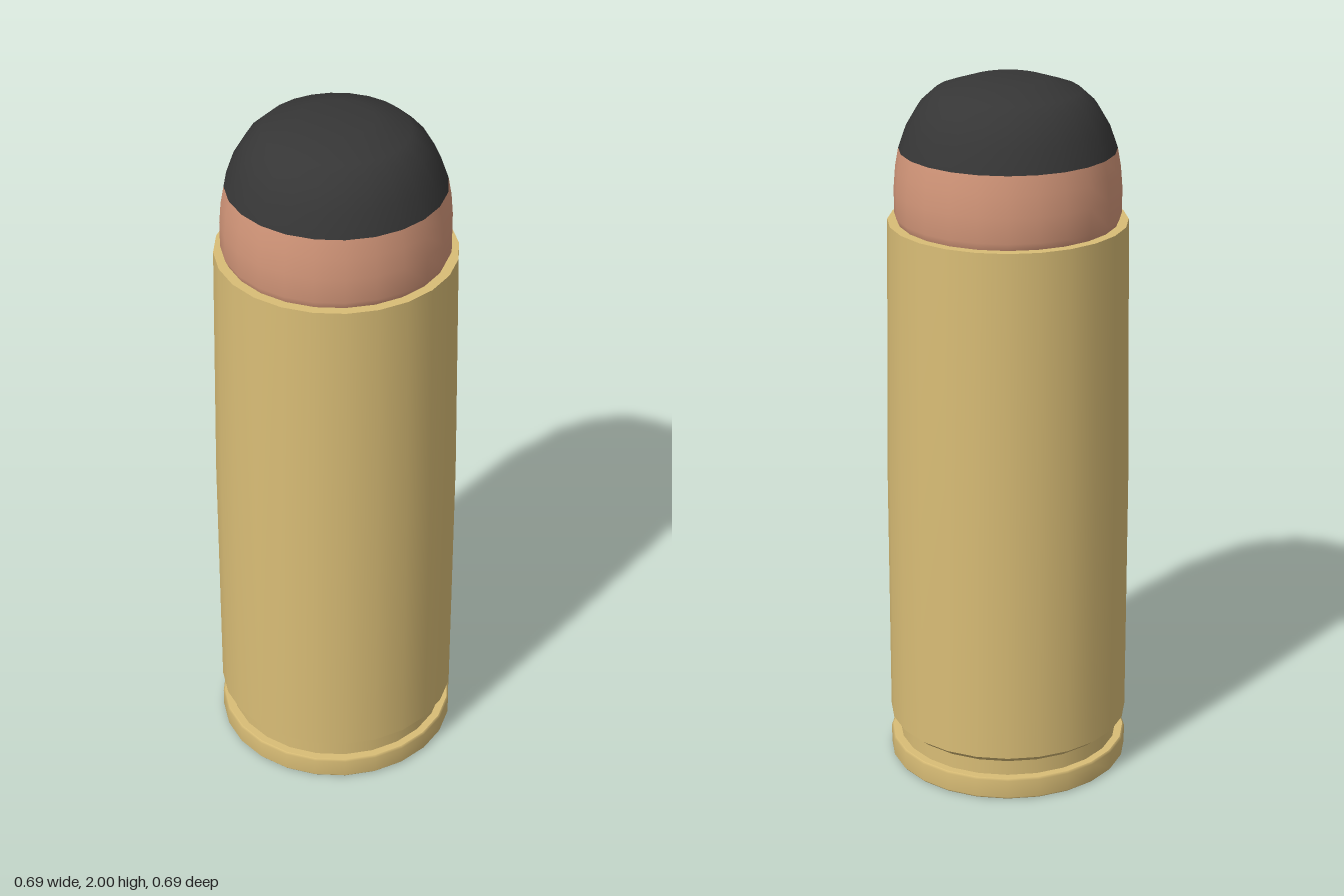
import * as THREE from 'three';

const SIDES = 24;

export function createModel() {
  const model = new THREE.Group();
  const mat = (name, color) => {
    const m = new THREE.MeshStandardMaterial({ color });
    m.name = name;
    return m;
  };
  const brass = mat('brass', 0xd9bd76);
  const copper = mat('copper', 0xd4977a);
  const black = mat('black', 0x363636);

  // Revolve each [radius, y] profile; separate profiles keep a sharp edge between them
  const turned = (name, material, ...profiles) => {
    const group = new THREE.Group();
    group.name = name;
    profiles.forEach((profile, i) => {
      const points = profile.map(([r, y]) => new THREE.Vector2(r, y));
      const mesh = new THREE.Mesh(new THREE.LatheGeometry(points, SIDES), material);
      mesh.name = `${name}Section${i + 1}`;
      group.add(mesh);
    });
    model.add(group);
  };

  // Flat base disc with the extraction rim
  turned('rim', brass,
    [[0, 0], [0.338, 0]],
    [[0.338, 0], [0.343, 0.006], [0.343, 0.058], [0.338, 0.064]],
    [[0.338, 0.064], [0.316, 0.064]]);

  // Groove above the rim and the flare up to the body
  turned('groove', brass,
    [[0.316, 0.064], [0.316, 0.108]],
    [[0.316, 0.108], [0.343, 0.13]]);

  // Slightly tapered case with an open mouth
  turned('case', brass,
    [[0.343, 0.13], [0.342, 0.9], [0.33, 1.61]],
    [[0.33, 1.61], [0.3, 1.61]]);

  // Jacket of the bullet, tucked in at the mouth
  turned('jacket', copper,
    [[0.3, 1.605], [0.311, 1.63], [0.311, 1.7], [0.306, 1.76], [0.297, 1.81]]);

  // Rounded nose with a small flat tip
  turned('nose', black,
    [[0.297, 1.81], [0.275, 1.873], [0.242, 1.929], [0.198, 1.969], [0.104, 2], [0, 2]]);

  return model;
}
